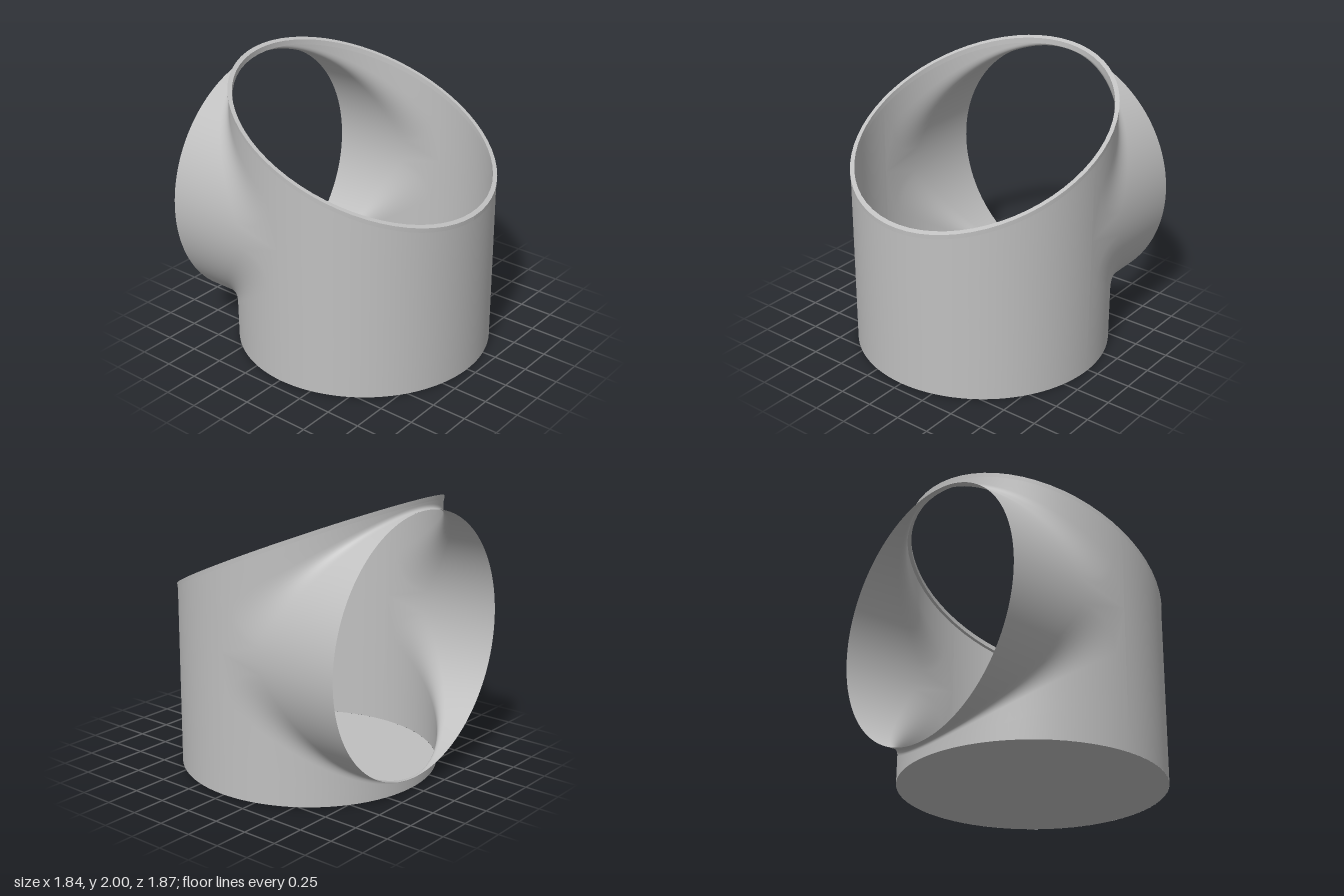
import * as THREE from 'three';
import { mergeGeometries, mergeVertices } from 'three/addons/utils/BufferGeometryUtils.js';

const R = 0.917;      // radius of both pipes
const Z0 = 0.013;     // axis of the upright pipe
const AXIS_Y = 1.01;  // axis height of the rear pipe
const BACK = -0.94;   // open end of the rear pipe
const SEGMENTS = 64;

// Slanted cut across the top
const topY = (z) => 1.195 + (Z0 + R - z) * 0.437;

// Indexed surface from rows of points; section(u) returns one row for u in 0..1
function surface(nu, section) {
  const pos = [], index = [];
  let n = 0;
  for (let i = 0; i <= nu; i++) {
    const row = section(i / nu);
    n = row.length;
    row.forEach((p) => pos.push(...p));
  }
  for (let i = 0; i < nu; i++) {
    for (let j = 0; j < n - 1; j++) {
      const a = i * n + j, b = a + n;
      index.push(a, b, b + 1, a, b + 1, a + 1);
    }
  }
  const g = new THREE.BufferGeometry();
  g.setAttribute('position', new THREE.Float32BufferAttribute(pos, 3));
  g.setIndex(index);
  return g;
}

// Front half of the upright pipe
function frontWall() {
  return surface(SEGMENTS, (u) => {
    const a = Math.PI * (1 - u);
    const x = R * Math.cos(a), z = Z0 + R * Math.sin(a), h = topY(z);
    return [0, 0.25, 0.5, 0.75, 1].map((v) => [x, h * v, z]);
  });
}

// Upper (side = 1) or lower (side = -1) rear wall, blended into the rear pipe
function rearWall(side) {
  return surface(SEGMENTS, (u) => {
    const a = Math.PI * (side > 0 ? 1 - u : u);
    const x = R * Math.cos(a), s = Math.max(0, Math.sin(a));
    const d = Math.min(0.028 + 0.27 * Math.pow(1 - s, 1.3), 3 * s);
    const y = AXIS_Y + side * R * s, z = Z0 - R * s;
    const edge = side > 0 ? topY(z) : 0;
    const start = y + side * d;
    const row = [[x, edge, z], [x, (edge + start) / 2, z]];
    for (let k = 0; k <= 8; k++) {
      const t = k / 8;
      row.push([x, y + side * d * (1 - t) ** 2, z - d * t * t]);
    }
    row.push([x, y, (z - d + BACK) / 2], [x, y, BACK]);
    return row;
  });
}

export function createModel() {
  const group = new THREE.Group();
  const grey = new THREE.MeshStandardMaterial({ color: 0xc0c0c0, side: THREE.DoubleSide });
  grey.name = 'grey';
  const add = (name, geometry) => {
    const mesh = new THREE.Mesh(geometry, grey);
    mesh.name = name;
    group.add(mesh);
    return mesh;
  };

  // Upright pipe with its rear opening, one smooth shell
  const shell = mergeVertices(mergeGeometries([frontWall(), rearWall(1), rearWall(-1)]), 1e-4);
  shell.computeVertexNormals();
  add('pipeShell', shell);

  // Thin lip around the slanted opening, creased between its faces
  const lip = [[0.003, -0.03], [0.004, 0.002], [-0.026, 0.002], [-0.028, -0.035], [0, -0.035]];
  const faces = lip.slice(1).map((end, k) => {
    const g = surface(SEGMENTS, (u) => {
      const a = u * Math.PI * 2;
      return [lip[k], end].map(([dr, dy]) => {
        const r = R + dr, z = Z0 + r * Math.cos(a);
        return [r * Math.sin(a), topY(z) + dy, z];
      });
    });
    g.computeVertexNormals();
    return g;
  });
  add('topRim', mergeGeometries(faces));

  // Closed bottom
  const floor = add('floor', new THREE.CircleGeometry(R, SEGMENTS));
  floor.rotation.x = -Math.PI / 2;
  floor.position.z = Z0;

  return group;
}
